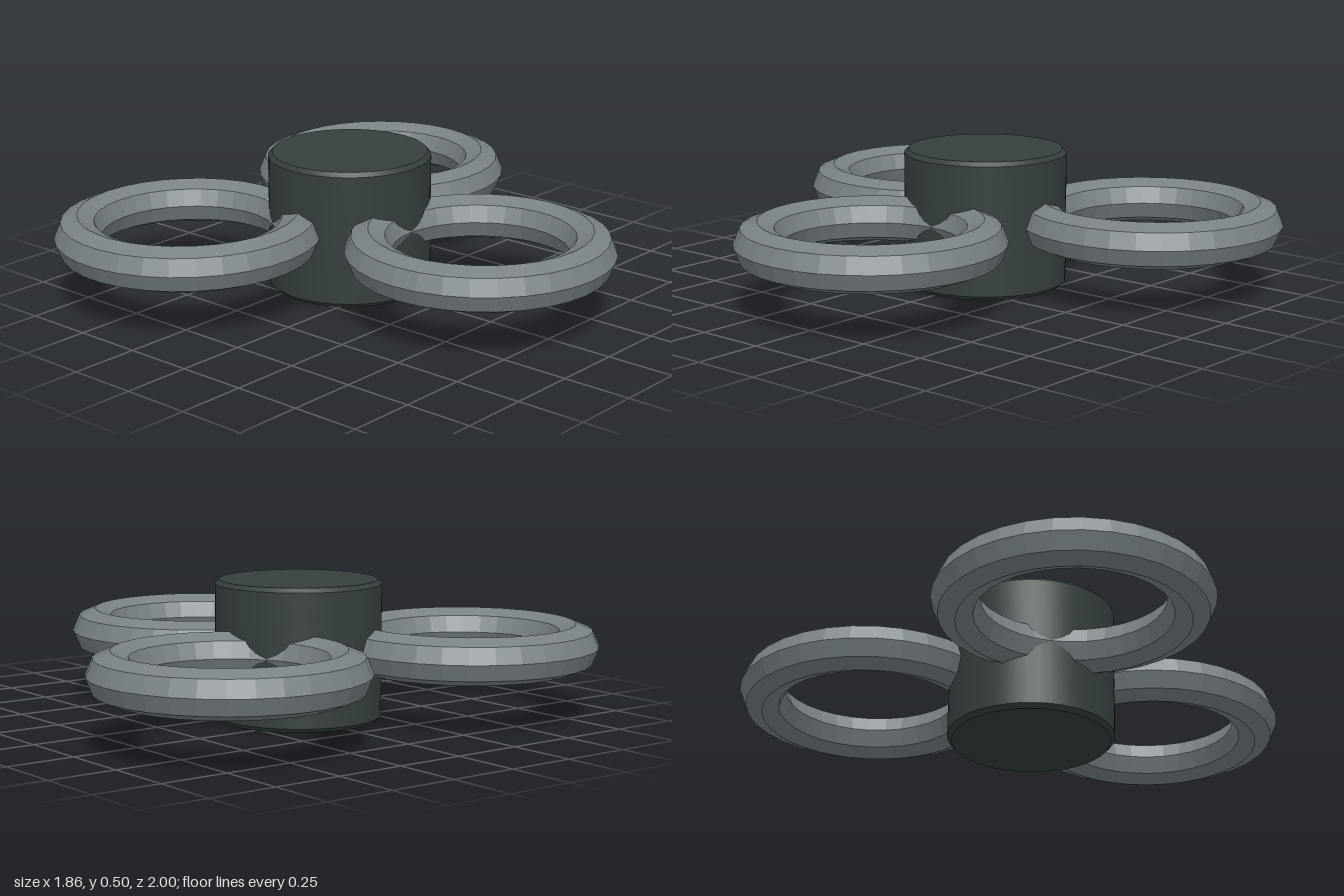
import * as THREE from 'three';
import { toCreasedNormals } from 'three/addons/utils/BufferGeometryUtils.js';

const HUB_X = -0.155, HUB_R = 0.295, HUB_H = 0.5, BEVEL = 0.015;
const RING_R = 0.392, TUBE_R = 0.083, REACH = 0.605, RING_Y = 0.252;

export function createModel() {
  const group = new THREE.Group();
  const hubGrey = new THREE.MeshStandardMaterial({ color: 0x353f3e });
  hubGrey.name = 'dark grey';
  const ringGrey = new THREE.MeshStandardMaterial({ color: 0x788184 });
  ringGrey.name = 'mid grey';

  // Central hub: upright cylinder with slightly bevelled rims
  const profile = [
    [0, 0], [HUB_R - BEVEL, 0], [HUB_R, BEVEL],
    [HUB_R, HUB_H - BEVEL], [HUB_R - BEVEL, HUB_H], [0, HUB_H],
  ].map(([x, y]) => new THREE.Vector2(x, y));
  const hub = new THREE.Mesh(toCreasedNormals(new THREE.LatheGeometry(profile, 48), 0.5), hubGrey);
  hub.name = 'hub';
  hub.position.x = HUB_X;
  group.add(hub);

  // Three faceted rings lying flat, spaced evenly round the hub
  const ringGeometry = new THREE.TorusGeometry(RING_R, TUBE_R, 8, 32).rotateX(Math.PI / 2);
  const facetedRing = toCreasedNormals(ringGeometry, 0.01);
  for (let i = 0; i < 3; i++) {
    const angle = (i * Math.PI * 2) / 3;
    const ring = new THREE.Mesh(facetedRing, ringGrey);
    ring.name = `ring${i + 1}`;
    ring.position.set(HUB_X + REACH * Math.cos(angle), RING_Y, REACH * Math.sin(angle));
    ring.rotation.y = -angle;
    group.add(ring);
  }
  return group;
}
